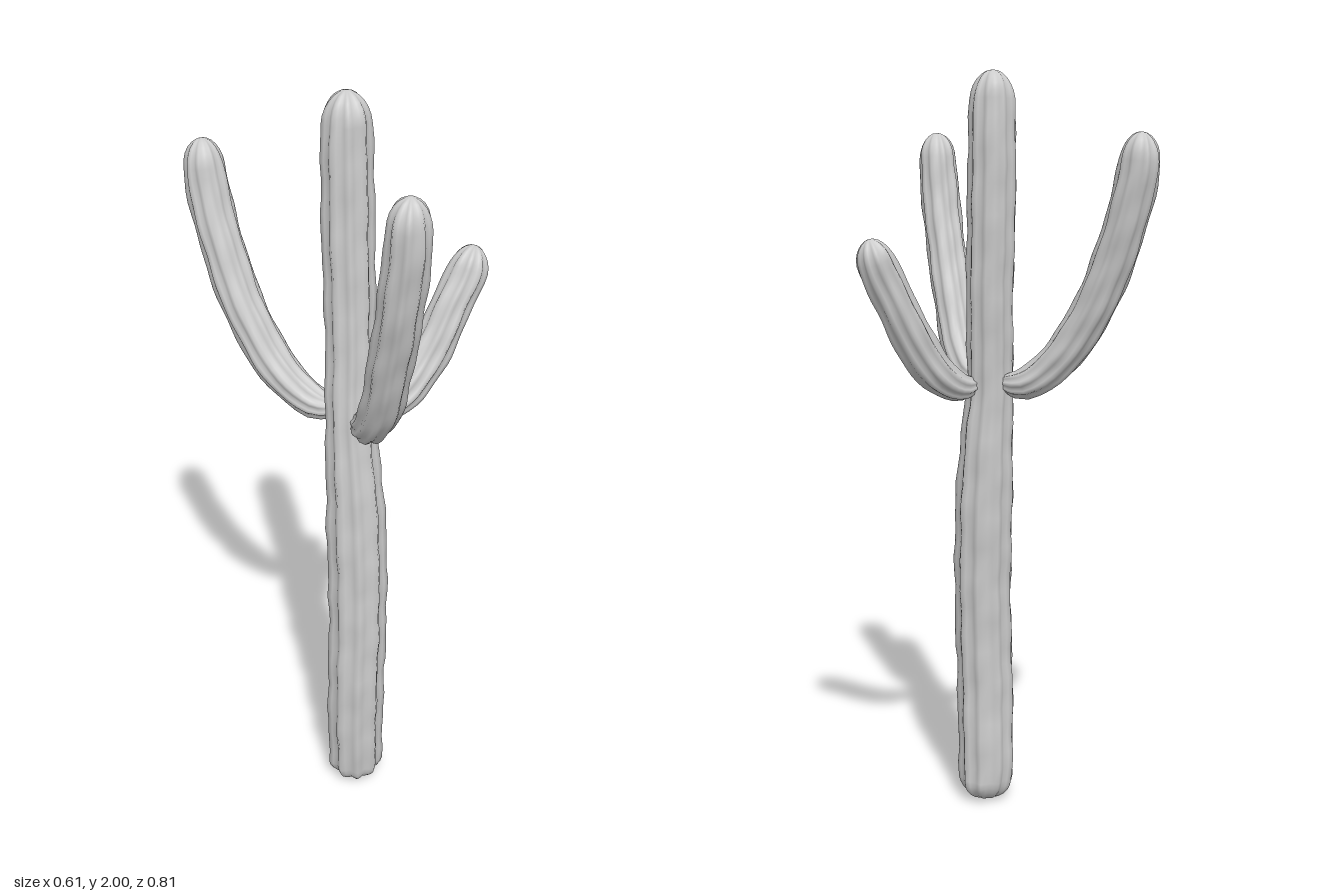
import * as THREE from 'three';

const RIBS = 9;
const SIDES = RIBS * 4;

// Sweeps a ribbed, domed stem along a path. Each point is [x, y, z, radius].
function ribbedStem(name, points, startCap, endCap, steps, seed) {
  const curve = new THREE.CatmullRomCurve3(points.map(p => new THREE.Vector3(p[0], p[1], p[2])));
  const length = curve.getLength();

  // Stations along the stem, packed closer together in the rounded ends
  const stations = [];
  const capSteps = 6;
  for (let i = 0; i <= capSteps; i++) stations.push(startCap * (1 - Math.cos(i / capSteps * Math.PI / 2)));
  for (let i = 1; i < steps; i++) stations.push(startCap + (length - startCap - endCap) * i / steps);
  for (let i = capSteps; i >= 0; i--) stations.push(length - endCap * (1 - Math.cos(i / capSteps * Math.PI / 2)));

  const dome = (s, cap) => s >= cap ? 1 : Math.sqrt(Math.max(0, 1 - (1 - s / cap) ** 2));
  const position = [];
  const index = [];
  const normal = new THREE.Vector3(), side = new THREE.Vector3(), last = new THREE.Vector3(1, 0, 0);

  stations.forEach((s, row) => {
    const u = Math.min(1, Math.max(0, s / length));
    const centre = curve.getPointAt(u);
    const tangent = curve.getTangentAt(u);
    // Carry the frame along so the ribs do not twist
    if (row === 0 && Math.abs(tangent.x) > 0.8) last.set(0, 0, 1);
    normal.copy(last).addScaledVector(tangent, -last.dot(tangent)).normalize();
    last.copy(normal);
    side.crossVectors(tangent, normal);

    const f = curve.getUtoTmapping(u) * (points.length - 1);
    const k = Math.min(points.length - 2, Math.floor(f));
    const radius = THREE.MathUtils.lerp(points[k][3], points[k + 1][3], f - k)
      * dome(s, startCap) * dome(length - s, endCap);

    for (let j = 0; j < SIDES; j++) {
      const a = j / SIDES * Math.PI * 2;
      const rib = 0.91 + 0.09 * Math.cos(a * RIBS);
      const wobble = 1 + 0.025 * Math.sin(s * 31 + a * 2 + seed) + 0.02 * Math.sin(s * 53 - a * 3 + seed * 2);
      const r = radius * rib * wobble;
      const p = centre.clone()
        .addScaledVector(normal, Math.cos(a) * r)
        .addScaledVector(side, Math.sin(a) * r);
      position.push(p.x, p.y, p.z);
      if (row > 0) {
        const n = (j + 1) % SIDES;
        const lo = (row - 1) * SIDES, hi = row * SIDES;
        if (row > 1) index.push(lo + j, lo + n, hi + n);
        if (row < stations.length - 1) index.push(lo + j, hi + n, hi + j);
        if (row === 1) index.push(lo + j, hi + n, hi + j);
        if (row === stations.length - 1) index.push(lo + j, lo + n, hi + j);
      }
    }
  });

  const geometry = new THREE.BufferGeometry();
  geometry.setAttribute('position', new THREE.Float32BufferAttribute(position, 3));
  geometry.setIndex(index);
  geometry.computeVertexNormals();
  const mesh = new THREE.Mesh(geometry, new THREE.MeshStandardMaterial({ color: 0xcccccc, roughness: 0.8 }));
  mesh.name = name;
  return mesh;
}

export function createModel() {
  const group = new THREE.Group();
  group.name = 'cactus';

  // Main column, leaning slightly back toward the top
  group.add(ribbedStem('trunk', [
    [-0.10, 0.005, 0.055, 0.073],
    [-0.105, 0.15, 0.06, 0.079],
    [-0.108, 0.35, 0.068, 0.080],
    [-0.100, 0.60, 0.068, 0.080],
    [-0.096, 0.85, 0.058, 0.081],
    [-0.096, 1.02, 0.048, 0.074],
    [-0.098, 1.18, 0.036, 0.064],
    [-0.085, 1.40, 0.022, 0.064],
    [-0.080, 1.65, 0.009, 0.066],
    [-0.077, 1.85, 0.003, 0.064],
    [-0.077, 2.0, 0.003, 0.057],
  ], 0.06, 0.075, 44, 0.5));

  // Tall arm at the back
  group.add(ribbedStem('backArm', [
    [-0.10, 1.19, 0.0, 0.026],
    [-0.135, 1.19, -0.07, 0.044],
    [-0.185, 1.26, -0.15, 0.053],
    [-0.228, 1.41, -0.24, 0.056],
    [-0.248, 1.57, -0.305, 0.056],
    [-0.257, 1.72, -0.350, 0.055],
    [-0.257, 1.83, -0.365, 0.050],
  ], 0.05, 0.07, 26, 1.7));

  // Tall arm at the front
  group.add(ribbedStem('frontArm', [
    [-0.105, 1.19, 0.07, 0.026],
    [-0.112, 1.20, 0.135, 0.047],
    [-0.125, 1.28, 0.205, 0.054],
    [-0.140, 1.42, 0.263, 0.056],
    [-0.152, 1.58, 0.315, 0.056],
    [-0.157, 1.74, 0.348, 0.055],
    [-0.157, 1.865, 0.358, 0.050],
  ], 0.05, 0.07, 26, 3.1));

  // Short arm on the left
  group.add(ribbedStem('leftArm', [
    [-0.065, 1.185, 0.045, 0.024],
    [0.0, 1.18, 0.046, 0.040],
    [0.07, 1.218, 0.050, 0.053],
    [0.145, 1.31, 0.053, 0.056],
    [0.205, 1.42, 0.057, 0.054],
    [0.248, 1.50, 0.061, 0.052],
    [0.272, 1.567, 0.062, 0.046],
  ], 0.05, 0.06, 22, 4.4));

  return group;
}
